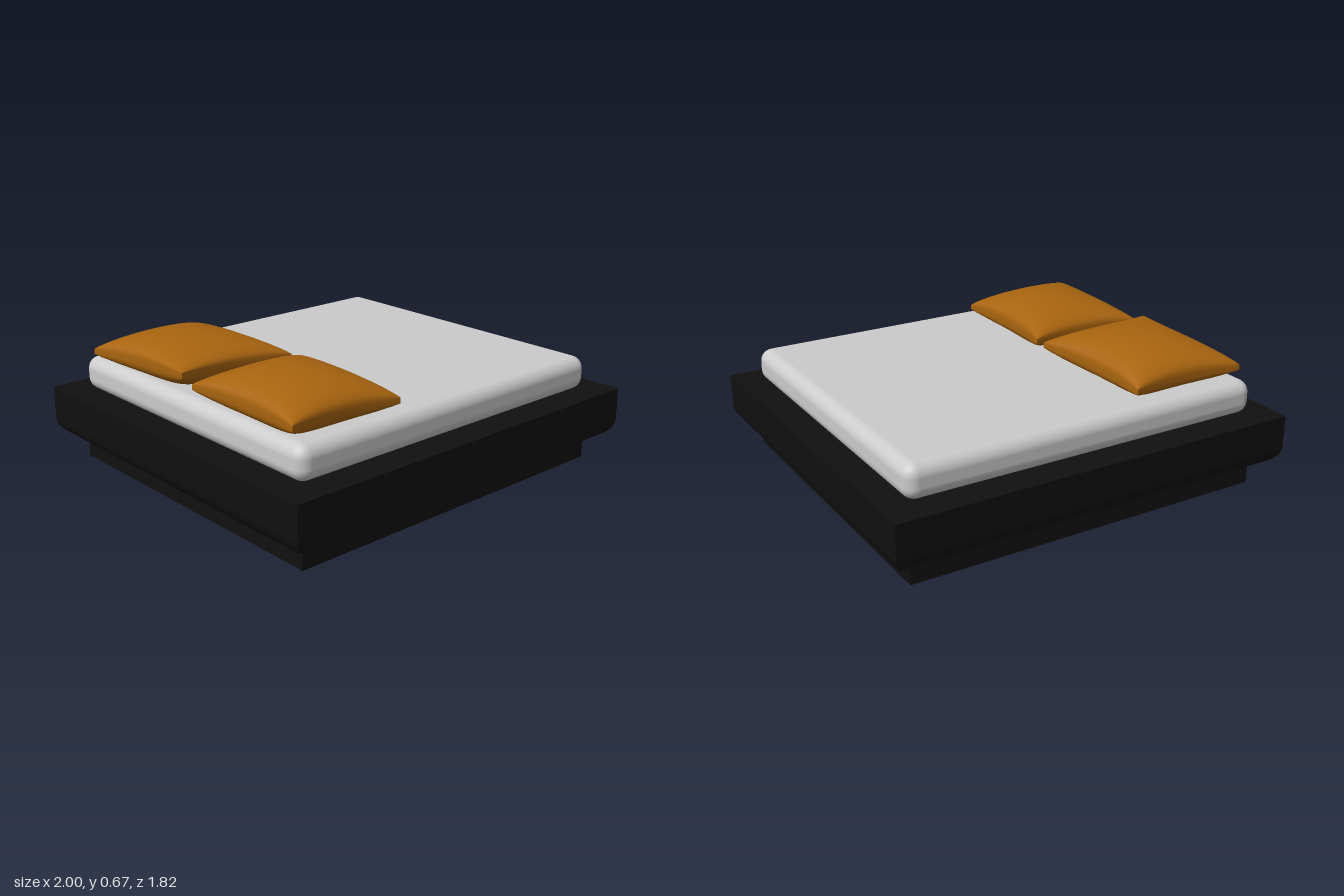
import * as THREE from 'three';
import { mergeVertices, toCreasedNormals } from 'three/addons/utils/BufferGeometryUtils.js';
import { RoundedBoxGeometry } from 'three/addons/geometries/RoundedBoxGeometry.js';

const black = new THREE.MeshStandardMaterial({ color: 0x101010 });
const grey = new THREE.MeshStandardMaterial({ color: 0xcccccc });
const ochre = new THREE.MeshStandardMaterial({ color: 0xa8640f });

function part(name, geometry, material, y = 0) {
  const mesh = new THREE.Mesh(geometry, material);
  mesh.name = name;
  mesh.position.y = y;
  return mesh;
}

// Box whose lower edges curve in by a quarter round on all four sides
function frameGeometry(halfX, halfZ, bottom, top, radius) {
  const rows = 9;
  const g = new THREE.BoxGeometry(2, 1, 2, 1, rows, 1);
  const p = g.attributes.position;
  for (let i = 0; i < p.count; i++) {
    const row = Math.round((p.getY(i) + 0.5) * rows);
    const a = Math.min(row / (rows - 1), 1) * Math.PI / 2;
    const inset = radius * (1 - Math.sin(a));
    const y = row === rows ? top : bottom + radius * (1 - Math.cos(a));
    p.setXYZ(i, p.getX(i) * (halfX - inset), y, p.getZ(i) * (halfZ - inset));
  }
  return toCreasedNormals(g, 0.6);
}

// Puffed cushion between four corners [x, y, z], ordered
// back-left, back-right, front-right, front-left as seen from above
function pillowGeometry(corners) {
  const [a, b, c, d] = corners;
  const n = 28;
  let g = new THREE.BoxGeometry(2, 2, 2, n, 1, n);
  g.deleteAttribute('uv');
  g.deleteAttribute('normal');
  const p = g.attributes.position;
  const blend = (k, s, t) =>
    (1 - t) * ((1 - s) * a[k] + s * b[k]) + t * ((1 - s) * d[k] + s * c[k]);
  for (let i = 0; i < p.count; i++) {
    // rows crowd towards the rim, where the surface curves most
    const u = Math.sin(p.getX(i) * Math.PI / 2);
    const v = Math.sin(p.getZ(i) * Math.PI / 2);
    const s = (u + 1) / 2, t = (v + 1) / 2;
    const puff = Math.pow(Math.max(0, (1 - u * u) * (1 - v * v)), 0.42);
    const seam = THREE.MathUtils.lerp(blend(1, s, t), 0.55, puff);
    const y = p.getY(i) > 0
      ? seam + 0.012 + 0.103 * puff
      : Math.max(0.506, seam - 0.012 - 0.08 * puff);
    // edges bow inwards between the pointed corners
    p.setXYZ(i,
      blend(0, s, t) - 0.028 * u * (1 - v * v),
      y,
      blend(2, s, t) - 0.03 * v * (1 - u * u));
  }
  g = mergeVertices(g, 1e-5);
  g.computeVertexNormals();
  return g;
}

export function createModel() {
  const bed = new THREE.Group();
  bed.name = 'bed';

  // Recessed plinth and wide platform
  bed.add(part('plinth', new THREE.BoxGeometry(1.78, 0.12, 1.61), black, 0.06));
  bed.add(part('platform', frameGeometry(1, 0.91, 0.108, 0.352, 0.09), black));

  // Mattress
  bed.add(part('mattress', new RoundedBoxGeometry(1.78, 0.162, 1.6, 5, 0.06), grey, 0.431));

  // Two pillows at the head end
  bed.add(part('leftPillow', pillowGeometry([
    [-0.855, 0.56, 0.045], [-0.255, 0.56, 0.04],
    [-0.285, 0.545, 0.725], [-0.875, 0.57, 0.735],
  ]), ochre));
  bed.add(part('rightPillow', pillowGeometry([
    [-0.88, 0.55, -0.71], [-0.288, 0.55, -0.715],
    [-0.26, 0.56, -0.012], [-0.862, 0.595, -0.018],
  ]), ochre));

  return bed;
}
